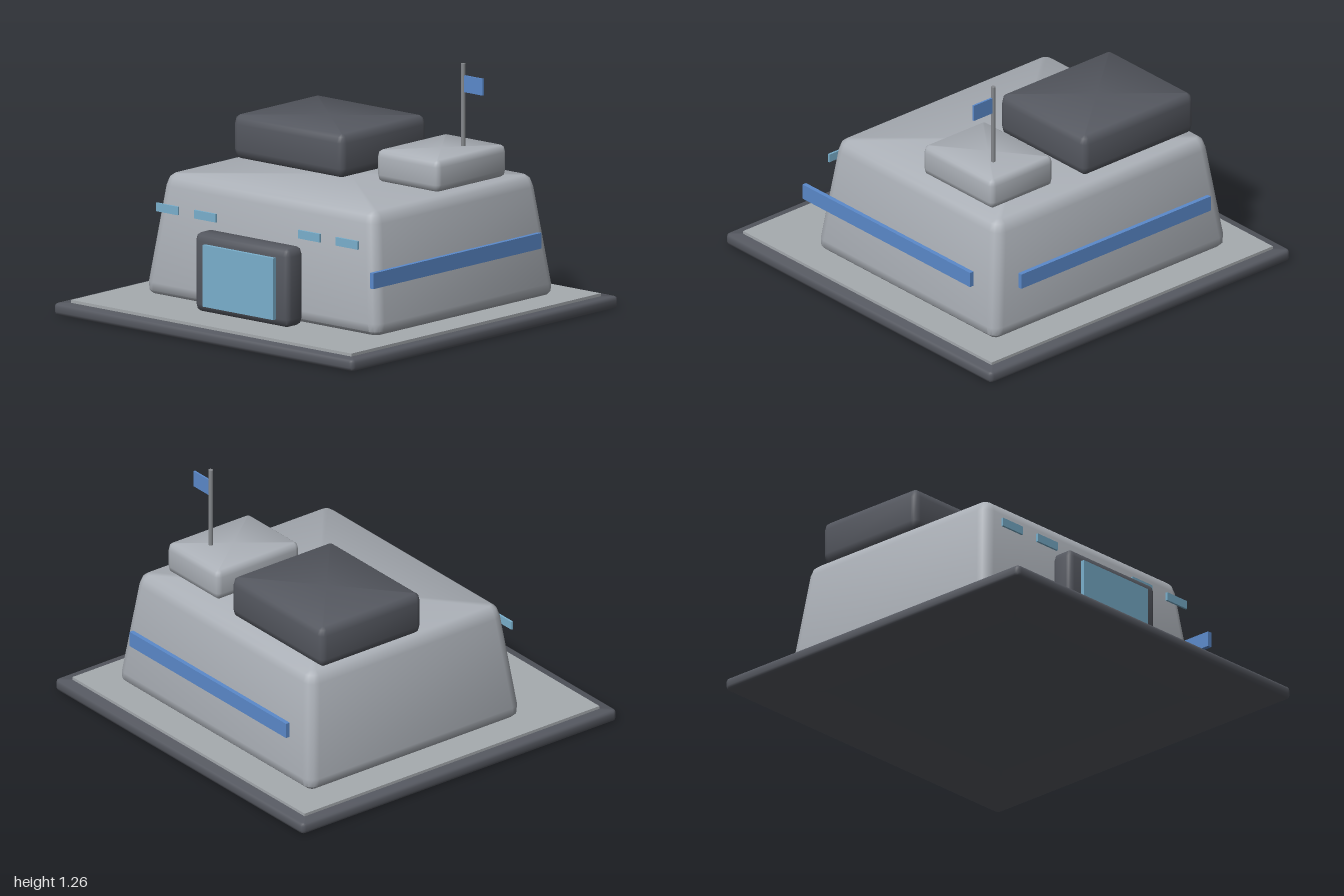
import * as THREE from 'three';
import { toCreasedNormals } from 'three/addons/utils/BufferGeometryUtils.js';

const mat = (name, color) => {
  const m = new THREE.MeshStandardMaterial({ color });
  m.name = name;
  return m;
};

// Softened block built from stacked rounded rectangles; it narrows to `taper` at the top.
function softBlock(w, h, d, insetH, insetV, corner, taper = 1) {
  const profile = [
    [0, insetH], [insetV * 0.3, insetH * 0.3], [insetV, 0],
    [h - insetV, 0], [h - insetV * 0.3, insetH * 0.3], [h, insetH],
  ];
  const signs = [[1, 1], [-1, 1], [-1, -1], [1, -1]];
  const steps = 3;
  const n = 4 * (steps + 1);
  const pos = [];
  const idx = [];
  for (const [y, inset] of profile) {
    const s = 1 + (taper - 1) * (y / h);
    signs.forEach(([sx, sz], q) => {
      for (let i = 0; i <= steps; i++) {
        const a = (q + i / steps) * Math.PI / 2;
        const r = corner - inset;
        pos.push(
          s * (sx * (w / 2 - corner)) + r * Math.cos(a),
          y,
          s * (sz * (d / 2 - corner)) + r * Math.sin(a));
      }
    });
  }
  for (let k = 0; k < profile.length - 1; k++) {
    for (let i = 0; i < n; i++) {
      const j = (i + 1) % n;
      const a = k * n + i, b = k * n + j;
      idx.push(a, a + n, b, b, a + n, b + n);
    }
  }
  const bottom = pos.length / 3;
  const top = bottom + 1;
  const last = (profile.length - 1) * n;
  pos.push(0, 0, 0, 0, h, 0);
  for (let i = 0; i < n; i++) {
    const j = (i + 1) % n;
    idx.push(bottom, i, j, top, last + j, last + i);
  }
  const g = new THREE.BufferGeometry();
  g.setAttribute('position', new THREE.Float32BufferAttribute(pos, 3));
  g.setIndex(idx);
  return toCreasedNormals(g, 0.8);
}

export function createModel() {
  const model = new THREE.Group();
  model.name = 'outpost';

  const wall = mat('wallGrey', 0xacb1b8);
  const floor = mat('floorGrey', 0xa6abaf);
  const dark = mat('darkGrey', 0x555860);
  const metal = mat('poleGrey', 0x85888c);
  const blue = mat('stripeBlue', 0x5b8acb);
  const glass = mat('glassBlue', 0x7ab0cd);

  const add = (name, geometry, material, x, y, z) => {
    const m = new THREE.Mesh(geometry, material);
    m.name = name;
    m.position.set(x, y, z);
    model.add(m);
    return m;
  };
  // Plain box given by its extents
  const box = (name, material, x0, x1, y0, y1, z0, z1) =>
    add(name, new THREE.BoxGeometry(x1 - x0, y1 - y0, z1 - z0), material,
      (x0 + x1) / 2, (y0 + y1) / 2, (z0 + z1) / 2);
  // Softened block given by its extents
  const soft = (name, material, x0, x1, y0, y1, z0, z1, insetH, insetV, corner, taper) =>
    add(name, softBlock(x1 - x0, y1 - y0, z1 - z0, insetH, insetV, corner, taper), material,
      (x0 + x1) / 2, y0, (z0 + z1) / 2);

  // Ground slab with a lighter floor on top
  soft('baseSlab', dark, -1, 1, 0, 0.06, -1, 1, 0.014, 0.018, 0.025);
  box('floorPlate', floor, -0.935, 0.935, 0.05, 0.075, -0.935, 0.935);

  // Tapered main building
  soft('mainBuilding', wall, -0.785, 0.785, 0.075, 0.685, -0.785, 0.575, 0.032, 0.06, 0.06, 0.885);

  // Roof blocks
  soft('roofUnit', dark, -0.685, 0.05, 0.685, 0.905, -0.63, 0.01, 0.025, 0.045, 0.035);
  soft('roofCabin', wall, 0.21, 0.625, 0.685, 0.845, -0.585, -0.06, 0.02, 0.035, 0.03);

  // Entrance
  soft('doorFrame', dark, -0.313, 0.313, 0.075, 0.475, 0.59, 0.715, 0.025, 0.04, 0.03);
  box('door', glass, -0.235, 0.235, 0.11, 0.425, 0.705, 0.735);

  // Slit windows, mirrored left and right
  for (const side of [-1, 1]) {
    for (const x of [0.347, 0.6]) {
      const c = side * x;
      box('window', glass, c - 0.073, c + 0.073, 0.51, 0.553, 0.583, 0.594);
    }
  }

  // Stripes on the left side and the back
  box('sideStripe', blue, 0.787, 0.81, 0.335, 0.415, -0.63, 0.63);
  box('backStripe', blue, -0.63, 0.63, 0.335, 0.415, -0.813, -0.79);

  // Flagpole and flag
  add('flagPole', new THREE.CylinderGeometry(0.012, 0.012, 0.425, 12), metal, 0.472, 1.0525, -0.423);
  box('flag', blue, 0.482, 0.605, 1.12, 1.205, -0.428, -0.418);

  return model;
}
